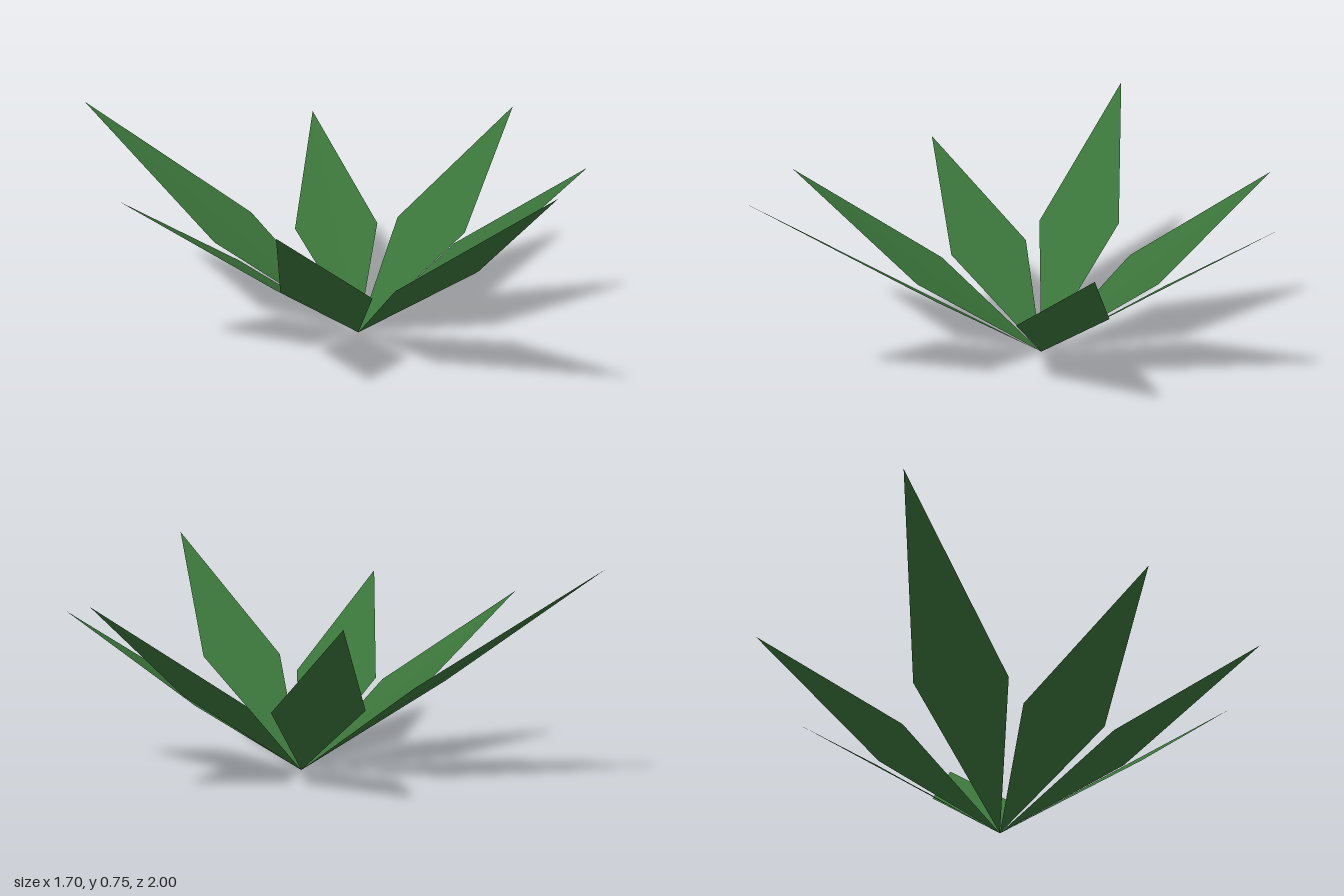
import * as THREE from 'three';

// Shared point where all leaves meet
const BASE = [-0.06, 0, -0.03];

// Each leaf: tip, right shoulder, left shoulder (looking outward from the base)
const LEAVES = [
  { name: 'backLeaf', tip: [-0.415, 0.73, -1], right: [-0.08, 0.34, -0.52], left: [-0.365, 0.32, -0.41] },
  { name: 'backLeftLeaf', tip: [0.44, 0.59, -0.7], right: [0.285, 0.27, -0.24], left: [0.04, 0.27, -0.42] },
  { name: 'leftLeaf', tip: [0.845, 0.635, -0.05], right: [0.35, 0.29, 0.11], left: [0.34, 0.29, -0.19] },
  { name: 'frontLeftLeaf', tip: [0.54, 0.555, 0.485], right: [0.11, 0.255, 0.32], left: [0.315, 0.255, 0.09] },
  { name: 'frontLeaf', tip: [-0.405, 0.755, 1], right: [-0.36, 0.33, 0.385], left: [-0.07, 0.34, 0.485] },
  { name: 'frontRightLeaf', tip: [-0.85, 0.615, 0.36], right: [-0.48, 0.27, 0.01], left: [-0.35, 0.28, 0.285] },
  { name: 'backRightLeaf', tip: [-0.83, 0.585, -0.34], right: [-0.35, 0.275, -0.31], left: [-0.47, 0.27, -0.03] },
];

// Diamond blade with a very shallow midrib valley
function leafGeometry({ tip, right, left }) {
  const rib = right.map((v, i) => (v + left[i]) / 2);
  rib[1] -= 0.005;
  const triangles = [
    BASE, right, rib,
    right, tip, rib,
    tip, left, rib,
    left, BASE, rib,
  ];
  const geometry = new THREE.BufferGeometry();
  geometry.setAttribute('position', new THREE.Float32BufferAttribute(triangles.flat(), 3));
  geometry.computeVertexNormals();
  return geometry;
}

export function createModel() {
  const plant = new THREE.Group();
  plant.name = 'leafRosette';
  const leafGreen = new THREE.MeshStandardMaterial({
    color: 0x3a743a, flatShading: true, side: THREE.DoubleSide,
  });
  leafGreen.name = 'leaf green';

  for (const leaf of LEAVES) {
    const mesh = new THREE.Mesh(leafGeometry(leaf), leafGreen);
    mesh.name = leaf.name;
    plant.add(mesh);
  }
  return plant;
}
